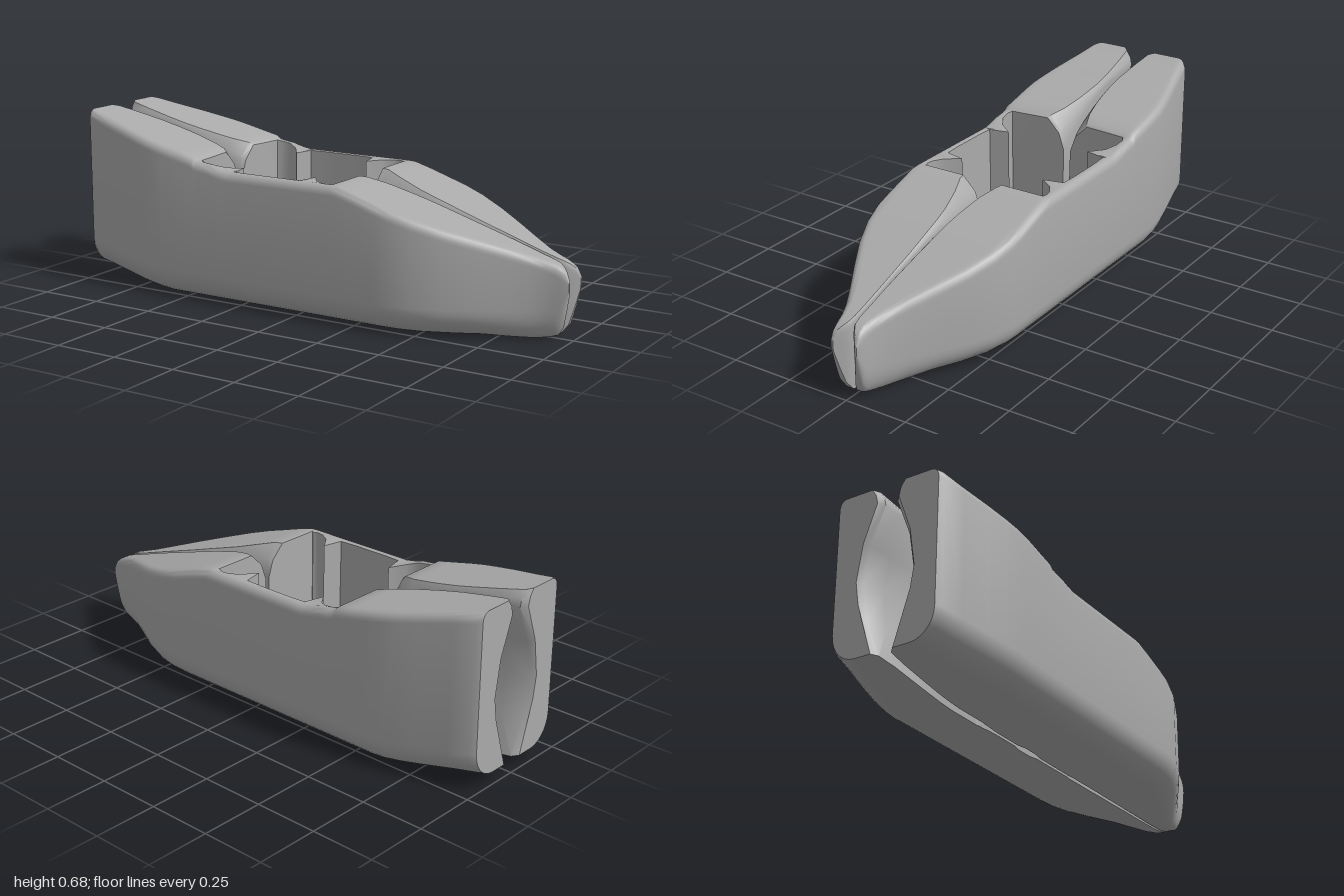
import * as THREE from 'three';
import { toCreasedNormals } from 'three/addons/utils/BufferGeometryUtils.js';

// Solid stations: x, top, bottom, outer z, inner z, z where the inner bevel starts, bevel depth, inner z at mid height
const rear = [
  [-1, 0.68, 0.05, 0.21, 0.045, 0.07, 0.06, 0.12],
  [-0.98, 0.675, 0.046, 0.225, 0.025, 0.05, 0.06, 0.105],
  [-0.9, 0.658, 0.036, 0.242, 0.018, 0.04, 0.05, 0.08],
  [-0.78, 0.632, 0.02, 0.272, 0.016, 0.03, 0.03, 0.05],
  [-0.7, 0.614, 0.01, 0.29, 0.015, 0.03, 0.03, 0.03],
  [-0.64, 0.601, 0.004, 0.3, 0.015, 0.035, 0.04, 0.018],
  [-0.58, 0.588, 0, 0.303, 0.015, 0.042, 0.06, 0.015],
  [-0.5, 0.57, 0, 0.303, 0.015, 0.058, 0.09, 0.015],
  [-0.44, 0.557, 0, 0.303, 0.015, 0.08, 0.12, 0.015],
  [-0.425, 0.546, 0, 0.303, 0.015, 0.09, 0.12, 0.015],
];
const front = [
  [0.17, 0.517, 0, 0.303, 0.008, 0.085, 0.12, 0.008],
  [0.2, 0.515, 0, 0.303, 0.008, 0.078, 0.11, 0.008],
  [0.27, 0.495, 0, 0.303, 0.008, 0.052, 0.08, 0.008],
  [0.36, 0.466, 0, 0.303, 0.008, 0.032, 0.05, 0.008],
  [0.42, 0.448, 0, 0.3, 0.007, 0.025, 0.03, 0.007],
  [0.5, 0.423, 0, 0.283, 0.007, 0.02, 0.02, 0.007],
  [0.6, 0.391, 0, 0.243, 0.006, 0.015, 0.015, 0.006],
  [0.7, 0.36, 0, 0.188, 0.006, 0.012, 0.01, 0.006],
  [0.8, 0.328, 0, 0.13, 0.005, 0.01, 0.01, 0.005],
  [0.87, 0.305, 0.002, 0.093, 0.005, 0.01, 0.01, 0.005],
  [0.92, 0.29, 0.01, 0.074, 0.005, 0.01, 0.015, 0.005],
  [0.95, 0.28, 0.02, 0.067, 0.007, 0.014, 0.02, 0.007],
  [0.97, 0.268, 0.05, 0.063, 0.02, 0.026, 0.02, 0.02],
  [0.985, 0.255, 0.11, 0.06, 0.033, 0.038, 0.015, 0.033],
  [1, 0.225, 0.18, 0.055, 0.046, 0.048, 0.008, 0.046],
];
// Cockpit stations: x, rim height, inner z of the side wall, inner z of the floor
const cockpit = [
  [-0.42, 0.544, 0.255, 0.012], [-0.4, 0.54, 0.263, 0.012], [-0.36, 0.535, 0.26, 0.008],
  [-0.32, 0.524, 0.235, 0.006], [-0.28, 0.517, 0.18, 0.006], [-0.262, 0.517, 0.258, 0.006],
  [-0.2, 0.517, 0.262, 0.006], [-0.16, 0.517, 0.262, 0.014], [-0.09, 0.517, 0.262, 0.014],
  [-0.05, 0.517, 0.262, 0.006], [0.022, 0.517, 0.258, 0.006], [0.04, 0.517, 0.18, 0.006],
  [0.08, 0.517, 0.235, 0.006], [0.12, 0.517, 0.26, 0.006], [0.15, 0.517, 0.263, 0.006],
  [0.165, 0.517, 0.255, 0.006],
];
const FLOOR = 0.05;

// Lower edge, outer side and rounded shoulder shared by every section, as [z, y]
function outerProfile(top, bottom, outer, inner) {
  const w = outer - inner, h = top - bottom, pts = [[inner, bottom]];
  const rz = Math.min(0.12, w * 0.6), ry = Math.min(0.11, h * 0.4);
  for (let i = 0; i <= 7; i++) {
    const a = (i / 7) * Math.PI / 2;
    pts.push([outer - rz + rz * Math.sin(a), bottom + ry - ry * Math.cos(a)]);
  }
  const tz = Math.min(0.03, w * 0.4), ty = Math.min(0.035, h * 0.25);
  for (let i = 0; i <= 5; i++) {
    const a = (i / 5) * Math.PI / 2;
    pts.push([outer - tz + tz * Math.cos(a), top - ty + ty * Math.sin(a)]);
  }
  return pts;
}

function solidSection([x, top, bottom, outer, inner, bevelZ, bevel, mid]) {
  const pts = outerProfile(top, bottom, outer, inner);
  const shoulder = pts[pts.length - 1][0];
  const h = top - bevel - bottom;
  pts.push([THREE.MathUtils.lerp(shoulder, bevelZ, 0.08), top], [bevelZ, top],
    [(bevelZ + inner) / 2 - (bevelZ - inner) * 0.2, top - bevel * 0.45], [inner, top - bevel]);
  for (const t of [0.75, 0.5, 0.25]) {
    pts.push([inner + (mid - inner) * Math.sin(Math.PI * t), bottom + h * t]);
  }
  return { x, pts };
}

function cockpitSection([x, top, wall, inner]) {
  const pts = outerProfile(top, 0, 0.303, inner);
  pts.push([wall, top - 0.003], [wall - 0.006, FLOOR], [wall * 0.5, FLOOR], [inner, FLOOR]);
  for (const t of [0.75, 0.5, 0.25]) pts.push([inner, FLOOR * t]);
  return { x, pts };
}

// Lofts the sections into one closed half; side is 1 or -1
function hullHalf(side) {
  const sections = [...rear.map(solidSection), ...cockpit.map(cockpitSection), ...front.map(solidSection)];
  const n = sections[0].pts.length, last = sections.length - 1;
  const positions = [], index = [];
  const tri = (a, b, c) => (side > 0 ? index.push(a, b, c) : index.push(a, c, b));
  for (const { x, pts } of sections) for (const [z, y] of pts) positions.push(x, y, z * side);
  for (let i = 0; i < last; i++) {
    for (let j = 0; j < n; j++) {
      const k = (j + 1) % n, a = i * n + j, b = a + n, c = i * n + k, d = c + n;
      tri(a, b, c);
      tri(c, b, d);
    }
  }
  // End caps
  for (const i of [0, last]) {
    const { x, pts } = sections[i];
    const centre = positions.length / 3;
    const z = pts.reduce((s, p) => s + p[0], 0) / n, y = pts.reduce((s, p) => s + p[1], 0) / n;
    positions.push(x, y, z * side);
    for (let j = 0; j < n; j++) {
      const a = i * n + j, b = i * n + ((j + 1) % n);
      if (i === 0) tri(centre, a, b);
      else tri(centre, b, a);
    }
  }
  const geometry = new THREE.BufferGeometry();
  geometry.setAttribute('position', new THREE.Float32BufferAttribute(positions, 3));
  geometry.setIndex(index);
  return toCreasedNormals(geometry, THREE.MathUtils.degToRad(38));
}

export function createModel() {
  const group = new THREE.Group();
  group.name = 'splitHull';
  const hullGrey = new THREE.MeshStandardMaterial({ color: 0xaaaaaa });
  hullGrey.name = 'hullGrey';
  for (const [name, side] of [['frontHullHalf', 1], ['backHullHalf', -1]]) {
    const mesh = new THREE.Mesh(hullHalf(side), hullGrey);
    mesh.name = name;
    group.add(mesh);
  }
  return group;
}
